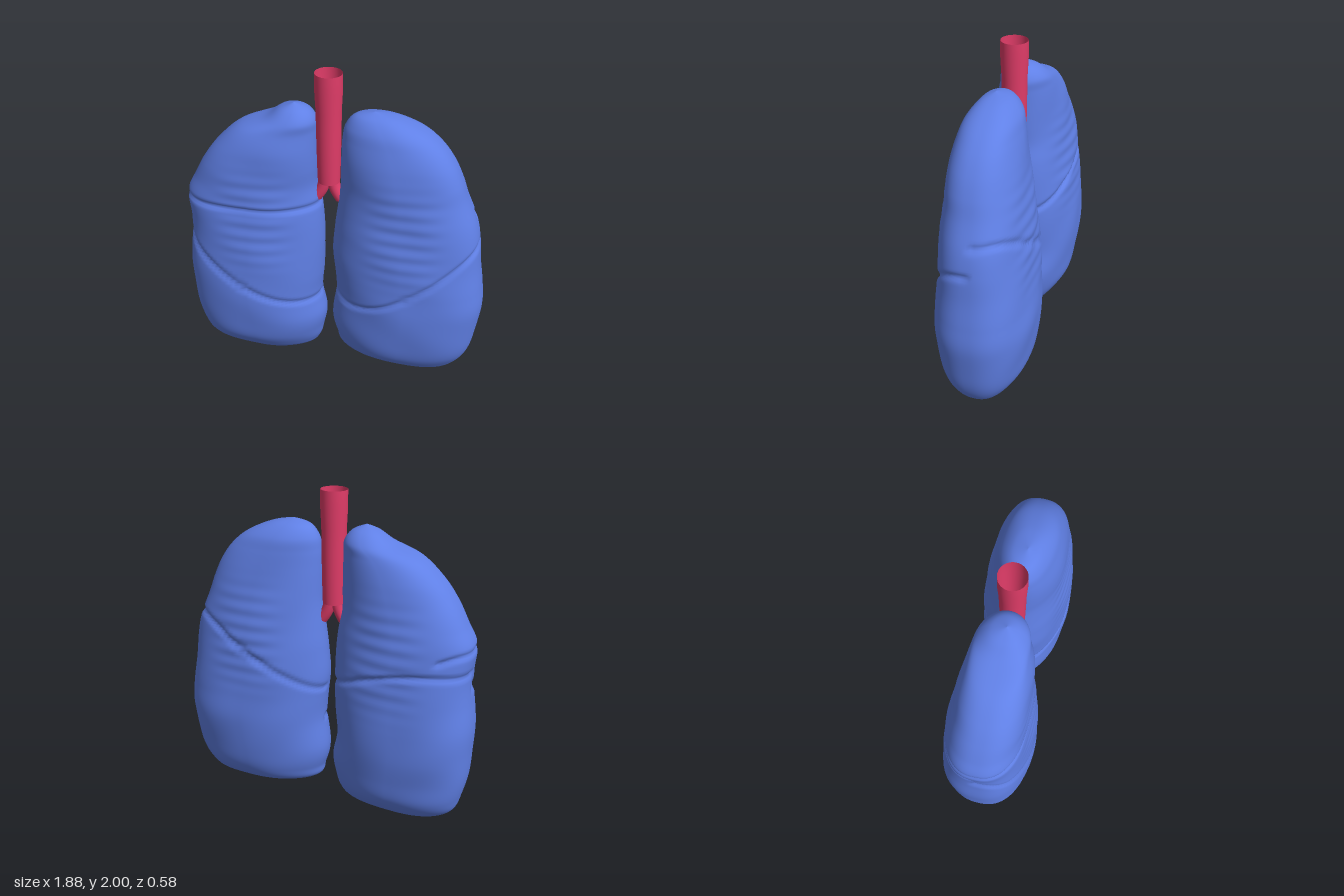
import * as THREE from 'three';

const lungBlue = new THREE.MeshStandardMaterial({ color: 0x6080e6 });
lungBlue.name = 'lungBlue';
const airwayRed = new THREE.MeshStandardMaterial({ color: 0xe03c68, side: THREE.DoubleSide });
airwayRed.name = 'airwayRed';

// Horizontal sections: [y, xMin, xMax, zBack, zFront]
const RIGHT = [
  [0, -0.5, -0.5, 0.04, 0.04],
  [0.015, -0.66, -0.34, -0.05, 0.1],
  [0.05, -0.79, -0.15, -0.13, 0.15],
  [0.11, -0.87, -0.095, -0.19, 0.2],
  [0.2, -0.9, -0.075, -0.24, 0.25],
  [0.33, -0.925, -0.055, -0.26, 0.275],
  [0.49, -0.935, -0.083, -0.28, 0.288],
  [0.66, -0.94, -0.075, -0.278, 0.285],
  [0.85, -0.92, -0.065, -0.262, 0.275],
  [1.02, -0.908, -0.07, -0.245, 0.262],
  [1.18, -0.915, -0.08, -0.225, 0.248],
  [1.3, -0.86, -0.1, -0.205, 0.236],
  [1.42, -0.79, -0.1, -0.185, 0.232],
  [1.54, -0.7, -0.1, -0.165, 0.22],
  [1.65, -0.57, -0.1, -0.138, 0.19],
  [1.72, -0.4, -0.105, -0.11, 0.165],
  [1.78, -0.31, -0.15, -0.05, 0.11],
  [1.815, -0.23, -0.23, 0.04, 0.04]
];
const LEFT = [
  [0.022, 0.62, 0.62, 0.04, 0.04],
  [0.035, 0.52, 0.71, -0.05, 0.1],
  [0.065, 0.32, 0.79, -0.13, 0.15],
  [0.11, 0.06, 0.84, -0.19, 0.2],
  [0.2, 0.015, 0.885, -0.24, 0.25],
  [0.33, -0.01, 0.915, -0.265, 0.275],
  [0.54, 0.012, 0.94, -0.285, 0.288],
  [0.7, 0.005, 0.925, -0.275, 0.282],
  [0.86, -0.01, 0.9, -0.262, 0.274],
  [1.02, 0, 0.88, -0.245, 0.262],
  [1.16, 0.02, 0.85, -0.228, 0.248],
  [1.31, 0.035, 0.79, -0.205, 0.236],
  [1.42, 0.04, 0.75, -0.185, 0.232],
  [1.53, 0.045, 0.695, -0.165, 0.22],
  [1.63, 0.05, 0.62, -0.142, 0.195],
  [1.71, 0.065, 0.52, -0.115, 0.165],
  [1.775, 0.12, 0.37, -0.05, 0.11],
  [1.805, 0.23, 0.23, 0.04, 0.04]
];

// Fissure curves in the x-y plane, for the front and back faces
const fissure = (...pts) =>
  new THREE.SplineCurve(pts.map(p => new THREE.Vector2(...p))).getPoints(16);
const RIGHT_FISSURES = {
  front: [
    fissure([-0.95, 1.17], [-0.5, 1.18], [-0.05, 1.175]),
    fissure([-0.95, 1.03], [-0.86, 0.86], [-0.6, 0.67], [-0.33, 0.53], [-0.05, 0.47])
  ],
  back: [
    fissure([-0.95, 1.03], [-0.7, 1.04], [-0.4, 0.99], [-0.05, 0.84]),
    fissure([-0.95, 1.17], [-0.85, 1.16], [-0.76, 1.13])
  ]
};
const LEFT_FISSURES = {
  front: [fissure([0.95, 1.09], [0.85, 0.99], [0.6, 0.78], [0.33, 0.6], [0.12, 0.53], [-0.03, 0.56])],
  back: [fissure([0.95, 1.09], [0.78, 1.19], [0.42, 1.0], [-0.03, 0.75])]
};

function distanceTo(lines, x, y) {
  let best = 9;
  for (const line of lines) {
    for (let i = 1; i < line.length; i++) {
      const a = line[i - 1], dx = line[i].x - a.x, dy = line[i].y - a.y;
      const t = THREE.MathUtils.clamp(((x - a.x) * dx + (y - a.y) * dy) / (dx * dx + dy * dy), 0, 1);
      best = Math.min(best, Math.hypot(x - a.x - t * dx, y - a.y - t * dy));
    }
  }
  return best;
}

// Smooth interpolation between neighbouring sections
function sectionAt(keys, t) {
  const i = Math.min(Math.floor(t), keys.length - 2), f = t - i;
  const k = n => keys[THREE.MathUtils.clamp(n, 0, keys.length - 1)];
  return keys[i].map((p1, c) => {
    const p0 = k(i - 1)[c], p2 = k(i + 1)[c], p3 = k(i + 2)[c];
    return p1 + 0.5 * f * (p2 - p0 + f * (2 * p0 - 5 * p1 + 4 * p2 - p3 + f * (3 * (p1 - p2) + p3 - p0)));
  });
}

const bump = (v, centre, width) => Math.exp(-(((v - centre) / width) ** 4));

function lung(name, keys, fissures, side) {
  const segs = 96, rows = (keys.length - 1) * 11, pos = [], index = [];
  for (let r = 0; r <= rows; r++) {
    const [y, x0, x1, z0, z1] = sectionAt(keys, r * (keys.length - 1) / rows);
    const cx = (x0 + x1) / 2, cz = (z0 + z1) / 2;
    const hx = Math.max(0, x1 - x0) / 2, hz = Math.max(0, z1 - z0) / 2;
    const inside = Math.min(1, hz / 0.1);
    for (let s = 0; s < segs; s++) {
      const a = s / segs * Math.PI * 2, c = Math.cos(a), d = Math.sin(a);
      // fuller on the outer edge, more pointed toward the middle
      const n = c * side > 0 ? 2.45 : 1.95;
      let x = cx + hx * Math.sign(c) * Math.abs(c) ** (2 / n);
      let z = cz + hz * Math.sign(d) * Math.abs(d) ** (2 / n);
      // fissure grooves, faint rib ripples and gentle unevenness
      const dist = distanceTo(d >= 0 ? fissures.front : fissures.back, x, y);
      const groove = 0.02 * Math.exp(-((dist / 0.016) ** 2));
      const ripple = 0.003 * Math.sin(y * 70) * bump(x, side * 0.45, 0.2) * bump(y, 1.1, 0.3);
      const wave = 0.004 * Math.sin(x * 13 + y * 5) * Math.sin(y * 11 + a);
      const offset = inside * (ripple + wave - groove);
      x += offset * c * 0.7;
      z += offset * d;
      pos.push(x, y, z);
      if (r < rows) {
        const p = r * segs + s, q = r * segs + (s + 1) % segs;
        index.push(p, p + segs, q, q, p + segs, q + segs);
      }
    }
  }
  const geo = new THREE.BufferGeometry();
  geo.setAttribute('position', new THREE.Float32BufferAttribute(pos, 3));
  geo.setIndex(index);
  geo.computeVertexNormals();
  const mesh = new THREE.Mesh(geo, lungBlue);
  mesh.name = name;
  return mesh;
}

function airway() {
  const group = new THREE.Group();
  group.name = 'airway';
  group.position.set(-0.035, 0, 0.02);
  // windpipe, open at both ends
  const profile = [[0.066, 1.32], [0.07, 1.45], [0.073, 1.65], [0.074, 1.78], [0.08, 1.9], [0.079, 2]];
  const pipe = new THREE.Mesh(
    new THREE.LatheGeometry(profile.map(p => new THREE.Vector2(...p)), 32), airwayRed);
  pipe.name = 'windpipe';
  group.add(pipe);
  // two short branches into the lungs
  for (const side of [-1, 1]) {
    const path = new THREE.QuadraticBezierCurve3(
      new THREE.Vector3(side * 0.024, 1.33, 0),
      new THREE.Vector3(side * 0.03, 1.27, 0),
      new THREE.Vector3(side * 0.075, 1.21, 0));
    const branch = new THREE.Mesh(new THREE.TubeGeometry(path, 10, 0.037, 20), airwayRed);
    branch.name = side < 0 ? 'rightBranch' : 'leftBranch';
    group.add(branch);
  }
  return group;
}

export function createModel() {
  const model = new THREE.Group();
  model.name = 'lungs';
  model.add(
    lung('rightLung', RIGHT, RIGHT_FISSURES, -1),
    lung('leftLung', LEFT, LEFT_FISSURES, 1),
    airway());
  return model;
}
